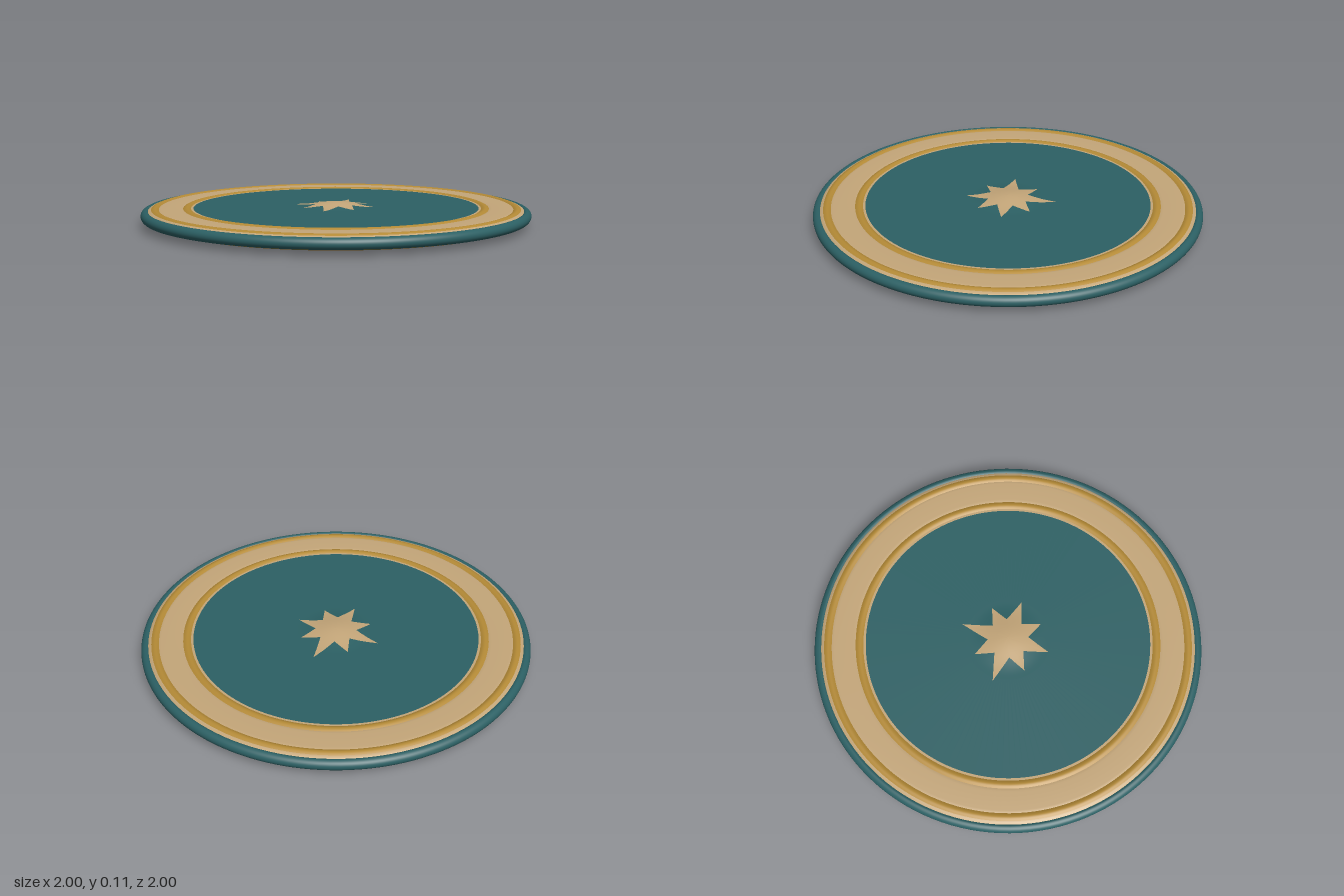
import * as THREE from 'three';

const MID = 0.055; // half height: the disc is the same above and below
const SEGMENTS = 128;

const teal = new THREE.MeshStandardMaterial({ color: 0x2c6064 });
teal.name = 'teal';
const cream = new THREE.MeshStandardMaterial({ color: 0xc4a679 });
cream.name = 'cream';
const gold = new THREE.MeshStandardMaterial({ color: 0xb48a36 });
gold.name = 'gold';

// Height of the inner plate above the middle, with a low dome at the centre
function plateHeight(r) {
  const t = Math.min(r / 0.2, 1);
  return 0.031 + 0.021 * (0.5 + 0.5 * Math.cos(Math.PI * t));
}

// Ring turned from [radius, height] points, listed from outside to inside
function band(name, points, material) {
  const profile = points.map(([r, y]) => new THREE.Vector2(r, y));
  const mesh = new THREE.Mesh(new THREE.LatheGeometry(profile, SEGMENTS), material);
  mesh.name = name;
  return mesh;
}

// Raised bead with a rounded top between two radii
function bead(name, outer, inner, base, height) {
  const points = [];
  for (let i = 0; i <= 8; i++) {
    const t = i / 8;
    points.push([outer + (inner - outer) * t, base + height * Math.sin(Math.PI * t)]);
  }
  return band(name, points, gold);
}

// Eight-pointed star draped over the dome
function star() {
  const tips = [0.215, 0.19, 0.22, 0.19, 0.24, 0.19, 0.25, 0.19];
  const corners = [];
  tips.forEach((tip, i) => {
    const a = (i * Math.PI) / 4;
    corners.push(new THREE.Vector2(Math.cos(a) * tip, Math.sin(a) * tip));
    const b = a + Math.PI / 8;
    corners.push(new THREE.Vector2(Math.cos(b) * 0.105, Math.sin(b) * 0.105));
  });
  const outline = [];
  corners.forEach((c, i) => {
    const next = corners[(i + 1) % corners.length];
    for (let s = 0; s < 4; s++) outline.push(c.clone().lerp(next, s / 4));
  });
  const rings = 10;
  const n = outline.length;
  const positions = [];
  const indices = [];
  for (let j = 0; j <= rings; j++) {
    for (const p of outline) {
      const x = (p.x * j) / rings;
      const z = (p.y * j) / rings;
      positions.push(x, plateHeight(Math.hypot(x, z)) + 0.003, z);
    }
  }
  for (let j = 0; j < rings; j++) {
    for (let i = 0; i < n; i++) {
      const k = (i + 1) % n;
      const a = j * n + i, b = j * n + k, c = a + n, d = b + n;
      indices.push(a, d, c);
      if (j > 0) indices.push(a, b, d);
    }
  }
  const geometry = new THREE.BufferGeometry();
  geometry.setAttribute('position', new THREE.Float32BufferAttribute(positions, 3));
  geometry.setIndex(indices);
  geometry.computeVertexNormals();
  const mesh = new THREE.Mesh(geometry, cream);
  mesh.name = 'star';
  return mesh;
}

// One decorated face of the disc, facing up
function face(name) {
  const group = new THREE.Group();
  group.name = name;

  const plate = [];
  for (let i = 0; i <= 20; i++) {
    const r = i === 0 ? 0.733 : 0.22 * (1 - (i - 1) / 19);
    plate.push([r, plateHeight(r)]);
  }

  group.add(
    band('outerEdging', [[0.963, 0.024], [0.955, 0.029], [0.947, 0.031]], cream),
    bead('outerBead', 0.947, 0.908, 0.031, 0.007),
    band('broadBand', [[0.908, 0.031], [0.895, 0.034], [0.8, 0.034], [0.785, 0.031]], cream),
    bead('innerBead', 0.785, 0.745, 0.031, 0.007),
    band('innerEdging', [[0.745, 0.031], [0.733, 0.031]], cream),
    band('plate', plate, teal),
    star()
  );
  return group;
}

export function createModel() {
  const model = new THREE.Group();
  model.name = 'disc';

  // Rounded outer rim
  const rimPoints = [];
  for (let i = 0; i <= 16; i++) {
    const a = -Math.PI / 2 + (Math.PI * i) / 16;
    rimPoints.push([0.97 + 0.03 * Math.cos(a), 0.028 * Math.sin(a)]);
  }
  rimPoints.unshift([0.963, -0.024]);
  rimPoints.push([0.963, 0.024]);
  const rim = band('rim', rimPoints, teal);
  rim.position.y = MID;

  // Matching faces on top and underneath
  const top = face('topFace');
  top.position.y = MID;
  const bottom = face('bottomFace');
  bottom.position.y = MID;
  bottom.rotation.z = Math.PI;

  model.add(rim, top, bottom);
  return model;
}
